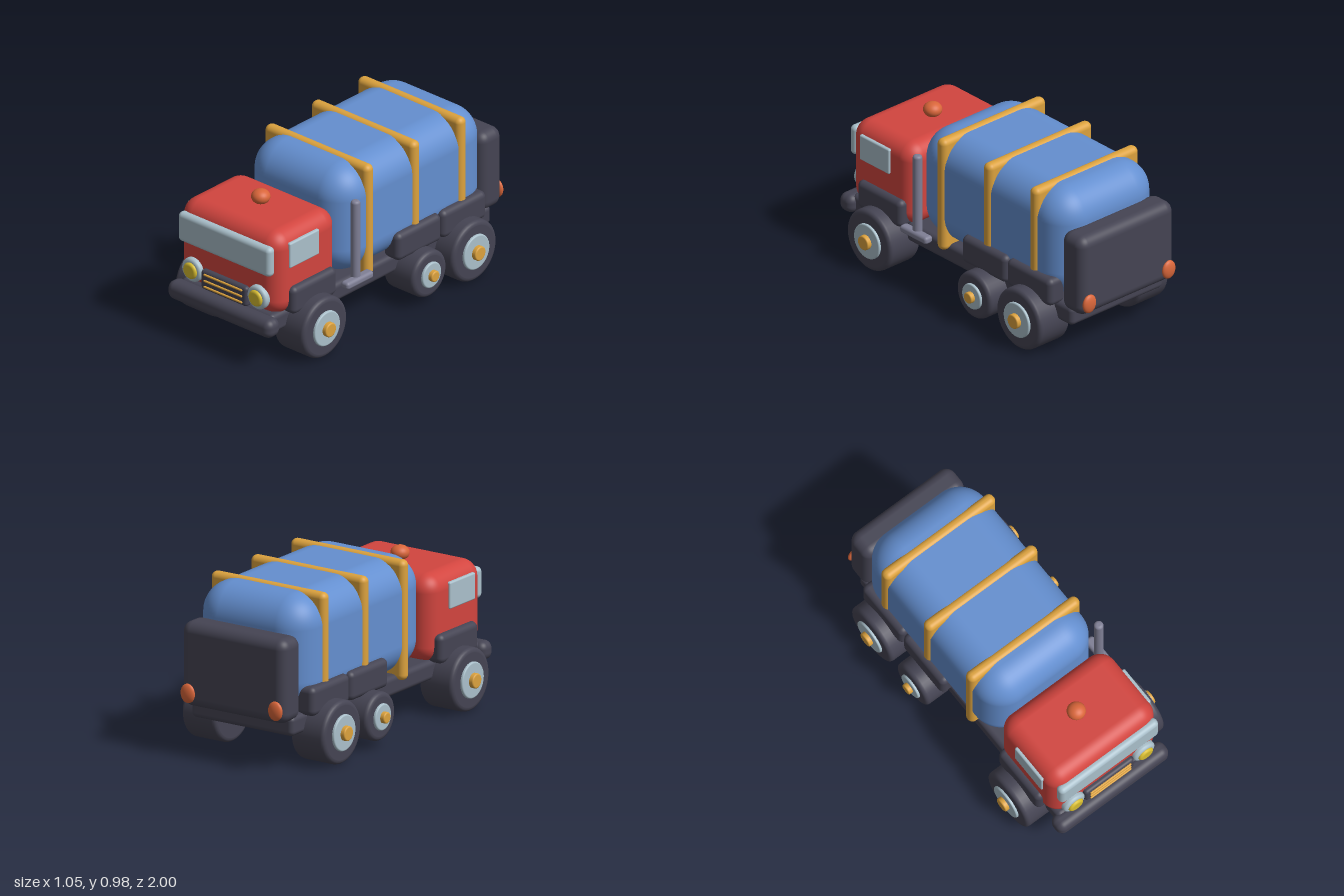
import * as THREE from 'three';
import { RoundedBoxGeometry } from 'three/addons/geometries/RoundedBoxGeometry.js';

const material = (name, color) => {
  const m = new THREE.MeshStandardMaterial({ color });
  m.name = name;
  return m;
};

export function createModel() {
  const red = material('cabRed', 0xd2453f);
  const blue = material('tankBlue', 0x648fd0);
  const gold = material('strapGold', 0xdca23e);
  const dark = material('rubberDark', 0x454453);
  const pale = material('paleGlass', 0xaac0cb);
  const grey = material('pipeGrey', 0x7f7f95);
  const yellow = material('lampYellow', 0xd8bd30);
  const amber = material('signalAmber', 0xd9663a);

  const truck = new THREE.Group();
  truck.name = 'tankerTruck';

  const add = (name, geometry, mat, x, y, z, parent = truck) => {
    const mesh = new THREE.Mesh(geometry, mat);
    mesh.name = name;
    mesh.position.set(x, y, z);
    parent.add(mesh);
    return mesh;
  };

  // Rounded block given by its extents on each axis
  const block = (name, mat, [x0, x1], [y0, y1], [z0, z1], radius, segments = 5) =>
    add(name, new RoundedBoxGeometry(x1 - x0, y1 - y0, z1 - z0, segments, radius), mat,
      (x0 + x1) / 2, (y0 + y1) / 2, (z0 + z1) / 2);

  // Solid disc about the y axis with a rounded rim
  const disc = (radius, width, bevel) => {
    const h = width / 2;
    const points = [new THREE.Vector2(0, -h), new THREE.Vector2(radius - bevel - 0.002, -h)];
    for (const [side, start] of [[-1, -Math.PI / 2], [1, 0]]) {
      for (let i = 0; i <= 4; i++) {
        const a = start + (i / 4) * Math.PI / 2;
        points.push(new THREE.Vector2(
          radius - bevel + Math.cos(a) * bevel,
          side * (h - bevel) + Math.sin(a) * bevel));
      }
    }
    points.push(new THREE.Vector2(radius - bevel - 0.002, h), new THREE.Vector2(0, h));
    return new THREE.LatheGeometry(points, 40);
  };

  const ellipsoid = (rx, ry, rz) => new THREE.SphereGeometry(1, 28, 18).scale(rx, ry, rz);

  // Frame, bumper and rear locker
  block('chassis', dark, [-0.347, 0.347], [0.203, 0.32], [-0.885, 0.93], 0.03);
  block('bumper', dark, [-0.388, 0.388], [0.204, 0.316], [0.89, 1.0], 0.045);
  block('rearLocker', dark, [-0.354, 0.354], [0.29, 0.78], [-0.975, -0.795], 0.06);

  // Cab and glazing
  block('cab', red, [-0.375, 0.375], [0.295, 0.81], [0.402, 0.92], 0.1, 8);
  block('windshield', pale, [-0.345, 0.345], [0.563, 0.745], [0.892, 0.952], 0.028);
  for (const s of [-1, 1]) {
    const x = s > 0 ? [0.355, 0.386] : [-0.386, -0.355];
    block('sideWindow', pale, x, [0.592, 0.748], [0.577, 0.822], 0.01, 3);
  }
  add('beacon', ellipsoid(0.054, 0.043, 0.054), amber, 0, 0.842, 0.64);

  // Grille with its bars
  block('grille', dark, [-0.172, 0.172], [0.322, 0.445], [0.9, 0.95], 0.02);
  for (const y of [0.347, 0.384, 0.422]) {
    block('grilleBar', gold, [-0.143, 0.143], [y - 0.006, y + 0.006], [0.944, 0.959], 0.005, 3);
  }

  // Headlamps and tail lamps
  for (const s of [-1, 1]) {
    add('headlampRing', disc(0.072, 0.05, 0.018), pale, s * 0.245, 0.41, 0.925).rotation.x = Math.PI / 2;
    add('headlampLens', disc(0.049, 0.05, 0.015), yellow, s * 0.245, 0.41, 0.94).rotation.x = Math.PI / 2;
    add('tailLamp', ellipsoid(0.047, 0.056, 0.022), amber, s * 0.297, 0.372, -0.978);
  }

  // Tank and straps
  block('tank', blue, [-0.375, 0.375], [0.31, 0.972], [-0.843, 0.388], 0.18, 8);
  for (const z of [0.157, -0.225, -0.607]) {
    block('tankStrap', gold, [-0.388, 0.388], [0.284, 0.981], [z - 0.035, z + 0.035], 0.033);
  }

  // Wheels and fenders, mirrored; outward direction is the wheel's local +y
  const wheels = [
    { z: 0.638, tyre: 0.183, rim: 0.105, hub: 0.043 },
    { z: -0.225, tyre: 0.14, rim: 0.077, hub: 0.033 },
    { z: -0.595, tyre: 0.183, rim: 0.105, hub: 0.043 },
  ];
  for (const s of [-1, 1]) {
    for (const { z, tyre, rim, hub } of wheels) {
      const wheel = new THREE.Group();
      wheel.name = 'wheel';
      wheel.position.set(s * 0.37, 0.187, z);
      wheel.rotation.z = -s * Math.PI / 2;
      truck.add(wheel);
      add('tyre', disc(tyre, 0.23, 0.025), dark, 0, 0, 0, wheel);
      add('rim', disc(rim, 0.05, 0.008), pale, 0, 0.105, 0, wheel);
      add('hub', disc(hub, 0.06, 0.008), gold, 0, 0.127, 0, wheel);

      const x = s > 0 ? [0.29, 0.412] : [-0.412, -0.29];
      block('fender', dark, x, [0.302, 0.472], [z - 0.183, z + 0.183], 0.035);
    }
  }

  // Exhaust stack on the left side only
  block('exhaustFoot', grey, [0.395, 0.453], [0.32, 0.365], [0.2, 0.42], 0.018);
  add('exhaustStack', disc(0.027, 0.5, 0.016), grey, 0.412, 0.584, 0.312);

  return truck;
}
